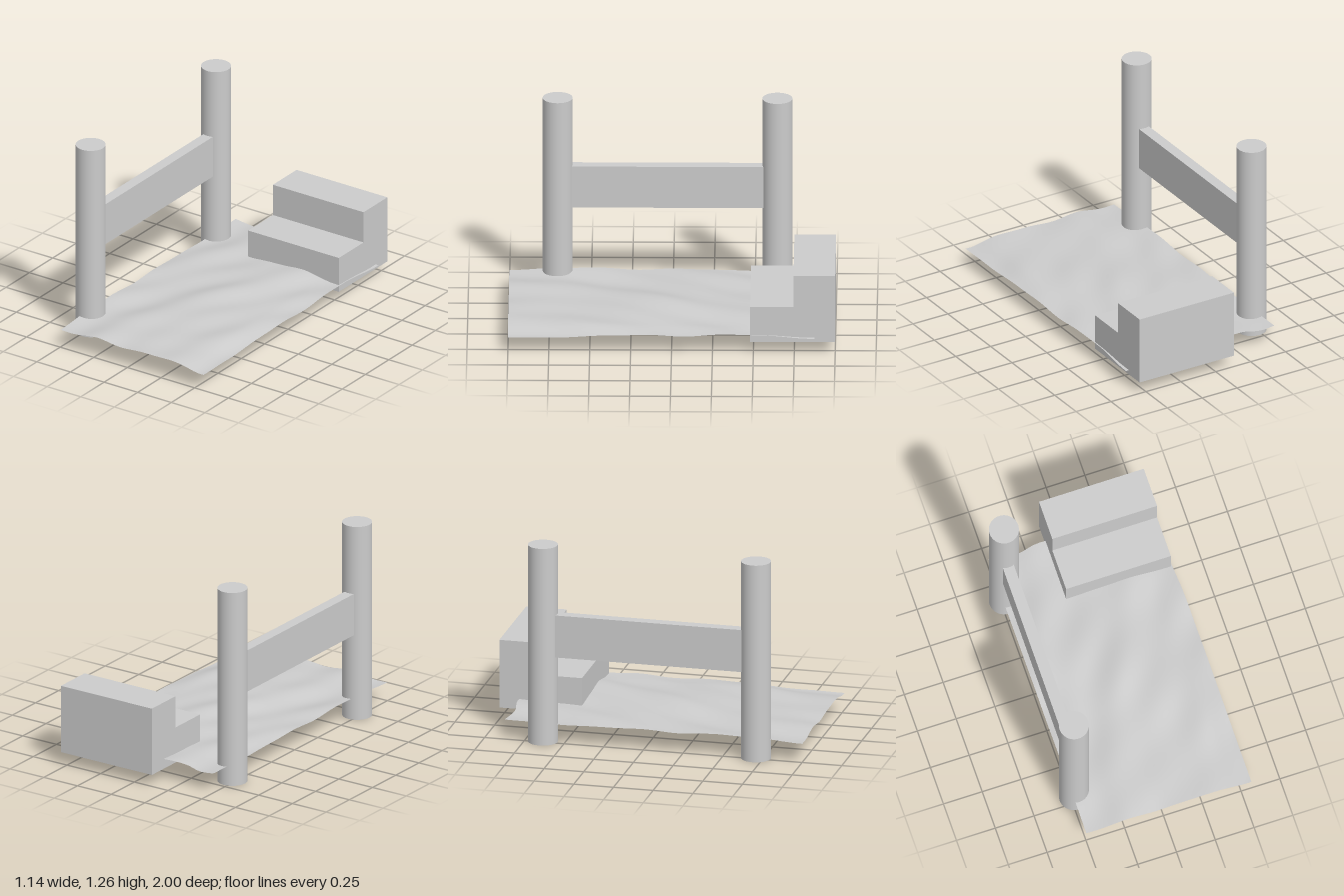
import * as THREE from 'three';

const material = new THREE.MeshStandardMaterial({ color: 0xcccccc });
const groundMaterial = new THREE.MeshStandardMaterial({ color: 0xcccccc, side: THREE.DoubleSide });

const POST = { x: -0.478, radius: 0.092, height: 1.265, front: 0.705, back: -0.638 };

function addMesh(parent, name, geometry, x, y, z, mat = material) {
  const mesh = new THREE.Mesh(geometry, mat);
  mesh.name = name;
  mesh.position.set(x, y, z);
  parent.add(mesh);
  return mesh;
}

// Gentle rumples, stretched along z, on a low central swell
function groundHeight(x, z) {
  const swell = 0.02 * Math.exp(-(((x - 0.12) / 0.32) ** 2)) * Math.exp(-((z / 0.85) ** 4));
  const folds =
    0.006 * Math.sin(13 * x + 4 * z + 0.6) +
    0.004 * Math.sin(21 * x + 6 * z + 2 * Math.sin(3 * z)) +
    0.004 * Math.sin(7 * z - 5 * x + 1.2) +
    0.002 * Math.sin(17 * z + 11 * x);
  const droop = -0.01 * THREE.MathUtils.smoothstep(x, 0.42, 0.57);
  return 0.127 + swell + folds + droop;
}

// Thin rumpled sheet with slightly ragged back and left-hand edges
function createGround() {
  const geometry = new THREE.PlaneGeometry(1, 1, 60, 100);
  geometry.rotateX(-Math.PI / 2);
  const p = geometry.attributes.position;
  for (let i = 0; i < p.count; i++) {
    const u = p.getX(i) + 0.5;
    const v = p.getZ(i) + 0.5;
    const backEdge = -0.875 + 0.02 * Math.exp(-(((u - 0.18) / 0.07) ** 2));
    const z = THREE.MathUtils.lerp(backEdge, 1, v);
    const sideEdge = 0.567 - 0.015 * Math.exp(-(((z + 0.55) / 0.2) ** 2));
    const x = THREE.MathUtils.lerp(-0.497, sideEdge, u);
    p.setXYZ(i, x, groundHeight(x, z), z);
  }
  geometry.computeVertexNormals();
  return geometry;
}

// Two-step block: side profile extruded across x
function createSteps() {
  const shape = new THREE.Shape([
    [0.48, 0.075], [1, 0.075], [1, 0.51], [0.745, 0.51], [0.745, 0.305], [0.48, 0.305],
  ].map(([back, y]) => new THREE.Vector2(back, y)));
  const geometry = new THREE.ExtrudeGeometry(shape, { depth: 0.675, bevelEnabled: false });
  geometry.rotateY(Math.PI / 2); // profile x becomes -z, depth becomes +x
  return geometry;
}

export function createModel() {
  const group = new THREE.Group();
  group.name = 'groundWithRailAndSteps';

  addMesh(group, 'ground', createGround(), 0, 0, 0, groundMaterial);
  addMesh(group, 'steps', createSteps(), -0.13, 0, 0);

  // Round posts
  const postGeometry = new THREE.CylinderGeometry(POST.radius, POST.radius, POST.height, 48);
  for (const [name, z] of [['frontPost', POST.front], ['backPost', POST.back]]) {
    addMesh(group, name, postGeometry, POST.x, POST.height / 2, z);
  }

  // Board between the posts, its ends set into them
  const length = POST.front - POST.back - POST.radius;
  addMesh(group, 'rail', new THREE.BoxGeometry(0.07, 0.27, length),
    POST.x, 0.69, (POST.front + POST.back) / 2);

  return group;
}
